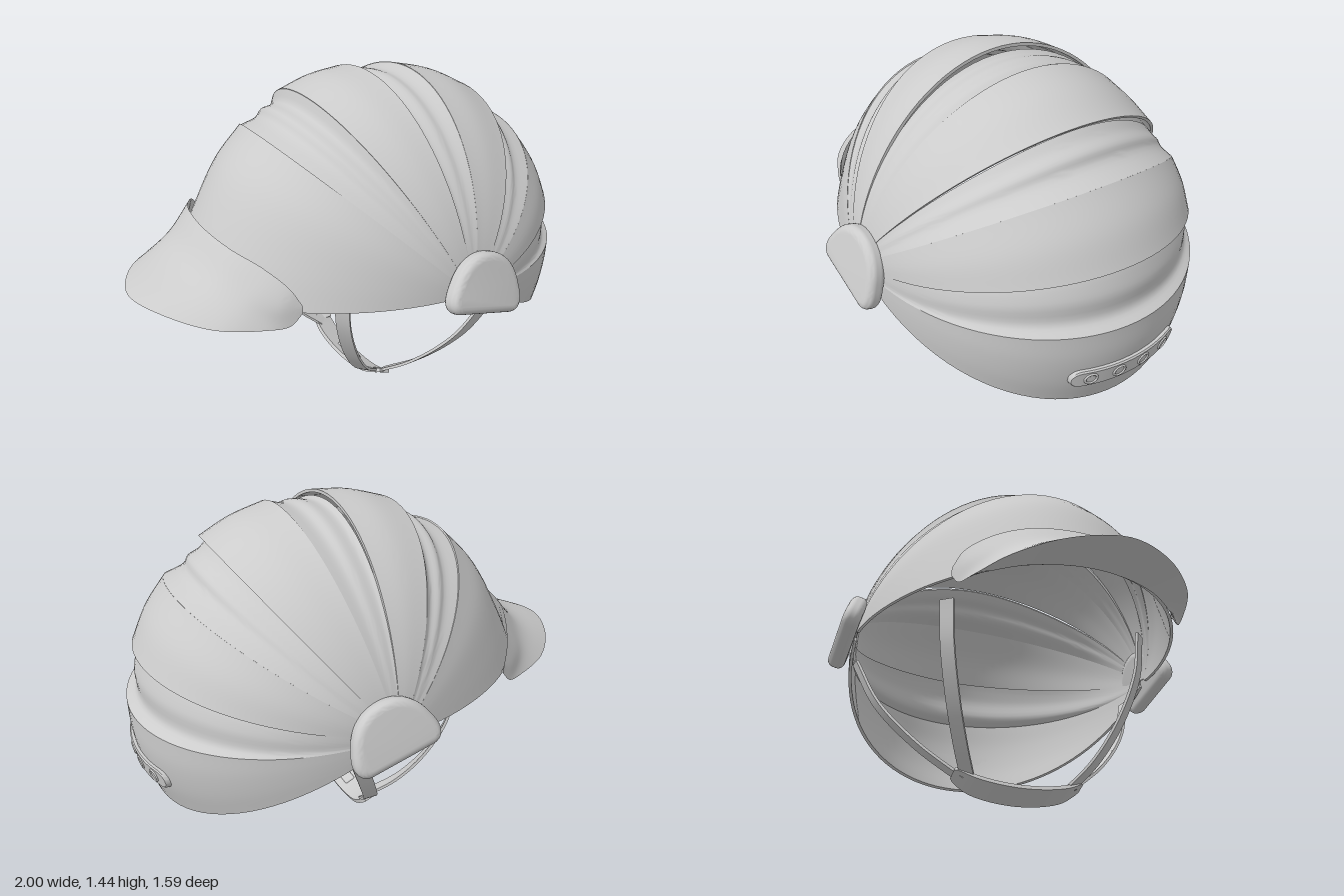
import * as THREE from 'three';
import { toCreasedNormals } from 'three/addons/utils/BufferGeometryUtils.js';
import { RoundedBoxGeometry } from 'three/addons/geometries/RoundedBoxGeometry.js';

const V = (x, y, z = 0) => new THREE.Vector3(x, y, z);
const PIVOT = V(0.147, 0.705); // all shell panels fan out from this side axis
const HALF_WIDTH = 0.715;
const material = new THREE.MeshStandardMaterial({ color: 0xcccccc, side: THREE.DoubleSide });
const spline = (pts) => new THREE.CatmullRomCurve3(pts.map((p) => V(...p)));

function add(group, name, geometry) {
  const mesh = new THREE.Mesh(geometry, material);
  mesh.name = name;
  group.add(mesh);
  return mesh;
}

// Skin a row of closed cross-sections, with fan caps at both ends
function loft(sections, crease = 0.6) {
  const n = sections[0].length;
  const pos = sections.flat().flatMap((p) => [p.x, p.y, p.z]);
  const index = [];
  for (let i = 0; i < sections.length - 1; i++) {
    for (let j = 0; j < n; j++) {
      const a = i * n + j, b = i * n + ((j + 1) % n);
      index.push(a, b, a + n, b, b + n, a + n);
    }
  }
  const last = (sections.length - 1) * n;
  for (let j = 1; j < n - 1; j++) index.push(0, j + 1, j, last, last + j, last + j + 1);
  const g = new THREE.BufferGeometry();
  g.setAttribute('position', new THREE.Float32BufferAttribute(pos, 3));
  g.setIndex(index);
  return toCreasedNormals(g, crease);
}

// Shell panel: a centre-line profile swept from side to side.
// The arch is slightly pointed at front and top, and fuller at the back.
function panel(profile, dip = 0) {
  const pts = spline(profile).getPoints(16).map((p) => p.sub(PIVOT));
  const sections = [];
  for (let i = 0; i <= 48; i++) {
    const t = THREE.MathUtils.degToRad(-88 + (176 * i) / 48);
    const sink = dip * Math.sin(2 * t) ** 2; // slit under the panel in front
    const layer = (k) => pts.map((p, j) => {
      const power = 0.95 + 0.23 * THREE.MathUtils.smoothstep(Math.atan2(p.y, p.x), 0.3, 1.3);
      const r = Math.cos(t) ** power * k * (1 - sink * (1 - j / 16));
      return p.clone().multiplyScalar(r).add(PIVOT).setZ(HALF_WIDTH * Math.sin(t) * k);
    });
    sections.push([...layer(1), ...layer(0.982).reverse()]);
  }
  return loft(sections);
}

// Flat strap along a path; width is a full-width vector
function strap(path, width, thickness, taper = () => 1) {
  const curve = spline(path), n = 32, sections = [];
  for (let i = 0; i <= n; i++) {
    const p = curve.getPoint(i / n);
    const w = V(...width).multiplyScalar(0.5 * taper(i / n));
    const h = curve.getTangent(i / n).cross(w).normalize().multiplyScalar(thickness / 2);
    sections.push([[1, 1], [-1, 1], [-1, -1], [1, -1]].map(([a, b]) =>
      p.clone().addScaledVector(w, a).addScaledVector(h, b)));
  }
  return loft(sections);
}

// Visor: collar on the shell, crease, outer lip and underside, mirrored in z
function visor() {
  const mirrored = (pts) => spline([...pts.slice(1).reverse().map(([x, y, z]) => [x, y, -z]), ...pts]);
  const rails = [
    [[-0.665, 0.91, 0], [-0.64, 0.9, 0.21], [-0.58, 0.87, 0.35], [-0.52, 0.81, 0.452], [-0.487, 0.745, 0.487]],
    [[-0.775, 0.795, 0], [-0.74, 0.785, 0.22], [-0.66, 0.76, 0.36], [-0.57, 0.73, 0.45], [-0.486, 0.73, 0.488]],
    [[-1, 0.7, 0], [-0.93, 0.692, 0.2], [-0.79, 0.667, 0.36], [-0.62, 0.655, 0.445], [-0.535, 0.66, 0.475], [-0.486, 0.71, 0.488]],
    [[-0.74, 0.71, 0], [-0.69, 0.7, 0.25], [-0.58, 0.69, 0.41], [-0.487, 0.715, 0.475]],
  ].map(mirrored);
  const sections = [];
  for (let i = 0; i <= 60; i++) {
    const [a, b, c, d] = rails.map((r) => r.getPoint(i / 60));
    sections.push([...new THREE.CatmullRomCurve3([a, b, c]).getPoints(10), d]);
  }
  return loft(sections, 0.7);
}

// Point just off the back panel, on the centre line of the rear plate
const backPoint = (z, out) => V(
  PIVOT.x + 0.821 * (1 - (z / HALF_WIDTH) ** 2) ** 0.475 + out, 0.442 + 0.1 * z * z, z);

// Rear plate: a rounded bar bent around the back panel
function rearPlate() {
  const sections = [];
  for (let i = 0; i <= 80; i++) {
    const z = -0.255 * Math.cos((Math.PI * i) / 80);
    const end = Math.max(0, Math.abs(z) - 0.213) / 0.043;
    const h = 0.043 * Math.sqrt(Math.max(0.002, 1 - end * end));
    sections.push([[-0.015, -h], [0.014, -h], [0.02, -h * 0.85], [0.02, h * 0.85], [0.014, h], [-0.015, h]]
      .map(([out, y]) => backPoint(z, out + 0.19 * y).add(V(0, y))));
  }
  return loft(sections, 0.4);
}

// Half-round domed side cover, flat along the bottom
function sideCover() {
  const s = new THREE.Shape();
  s.moveTo(-0.13, -0.09);
  s.bezierCurveTo(-0.165, -0.09, -0.15, -0.045, -0.135, -0.01);
  s.bezierCurveTo(-0.11, 0.06, -0.06, 0.092, 0, 0.092);
  s.bezierCurveTo(0.06, 0.092, 0.11, 0.06, 0.135, -0.01);
  s.bezierCurveTo(0.15, -0.045, 0.165, -0.09, 0.13, -0.09);
  const g = new THREE.ExtrudeGeometry(s, {
    depth: 0.016, bevelThickness: 0.03, bevelSize: 0.032, bevelSegments: 6, curveSegments: 14,
  });
  return toCreasedNormals(g.translate(0, 0, -0.008), 0.7);
}

export function createModel() {
  const model = new THREE.Group();
  model.name = 'helmet';

  // Smooth wide panels, front to back
  const bands = [
    [[-0.755, 0.71], [-0.66, 0.905], [-0.537, 1.11], [-0.4, 1.25]],
    [[-0.195, 1.38], [-0.045, 1.425], [0.1, 1.44]],
    [[0.31, 1.42], [0.465, 1.375], [0.61, 1.3]],
    [[0.78, 1.14], [0.875, 1.013], [0.94, 0.88]],
    [[0.99, 0.655], [0.985, 0.53], [0.96, 0.4], [0.918, 0.277]],
  ];
  bands.forEach((b, i) => add(model, `shellPanel${i + 1}`, panel(b)));

  // Recessed fluted strips between them; the rear two leave slits
  const flutes = [
    [[-0.395, 1.245], [-0.31, 1.27], [-0.28, 1.305], [-0.22, 1.32], [-0.195, 1.378]],
    [[0.1, 1.412], [0.125, 1.4], [0.19, 1.41], [0.235, 1.4], [0.31, 1.418]],
    [[0.592, 1.282], [0.625, 1.248], [0.67, 1.22], [0.69, 1.18], [0.78, 1.139]],
    [[0.918, 0.876], [0.93, 0.84], [0.945, 0.78], [0.945, 0.69], [0.99, 0.655]],
  ];
  flutes.forEach((f, i) => add(model, `flutedStrip${i + 1}`, panel(f, i > 1 ? 0.045 : 0)));

  add(model, 'visor', visor());

  // Rear plate with four round rings
  add(model, 'rearPlate', rearPlate());
  for (const z of [-0.18, -0.06, 0.06, 0.18]) {
    const ring = add(model, 'plateRing', new THREE.TorusGeometry(0.025, 0.005, 8, 28));
    ring.position.copy(backPoint(z, 0.02));
    ring.rotation.set(0.19, Math.PI / 2 - z * 1.5, 0, 'YXZ');
  }

  // Side covers and chin straps, mirrored
  for (const s of [1, -1]) {
    const cover = add(model, s > 0 ? 'leftCover' : 'rightCover', sideCover());
    cover.position.set(0.193, 0.757, s * 0.733);
    cover.rotation.set(-s * 0.3, 0, -0.278, 'ZXY');
    add(model, 'frontStrap', strap(
      [[-0.282, 0.72, s * 0.44], [-0.265, 0.53, s * 0.425], [-0.19, 0.33, s * 0.37], [-0.09, 0.18, s * 0.3], [0.02, 0.085, s * 0.23]],
      [0.04, 0, s * 0.045], 0.012));
    add(model, 'rearStrap', strap(
      [[0.305, 0.64, s * 0.675], [0.21, 0.42, s * 0.585], [0.115, 0.23, s * 0.43], [0.045, 0.085, s * 0.25]],
      [0.065, 0, 0], 0.012));
  }

  // Curved chin rest with a small buckle
  add(model, 'chinRest', strap(
    [[0.04, 0.105, -0.288], [0.03, 0.06, -0.2], [0.025, 0.034, 0], [0.03, 0.06, 0.2], [0.04, 0.105, 0.288]],
    [0.11, -0.05, 0], 0.018, (t) => 0.45 + 0.55 * Math.sin(Math.PI * t) ** 0.5));
  const buckle = add(model, 'chinBuckle', new RoundedBoxGeometry(0.05, 0.018, 0.14, 4, 0.008));
  buckle.position.set(0.03, 0.043, 0);
  buckle.rotation.z = -0.43;

  return model;
}
